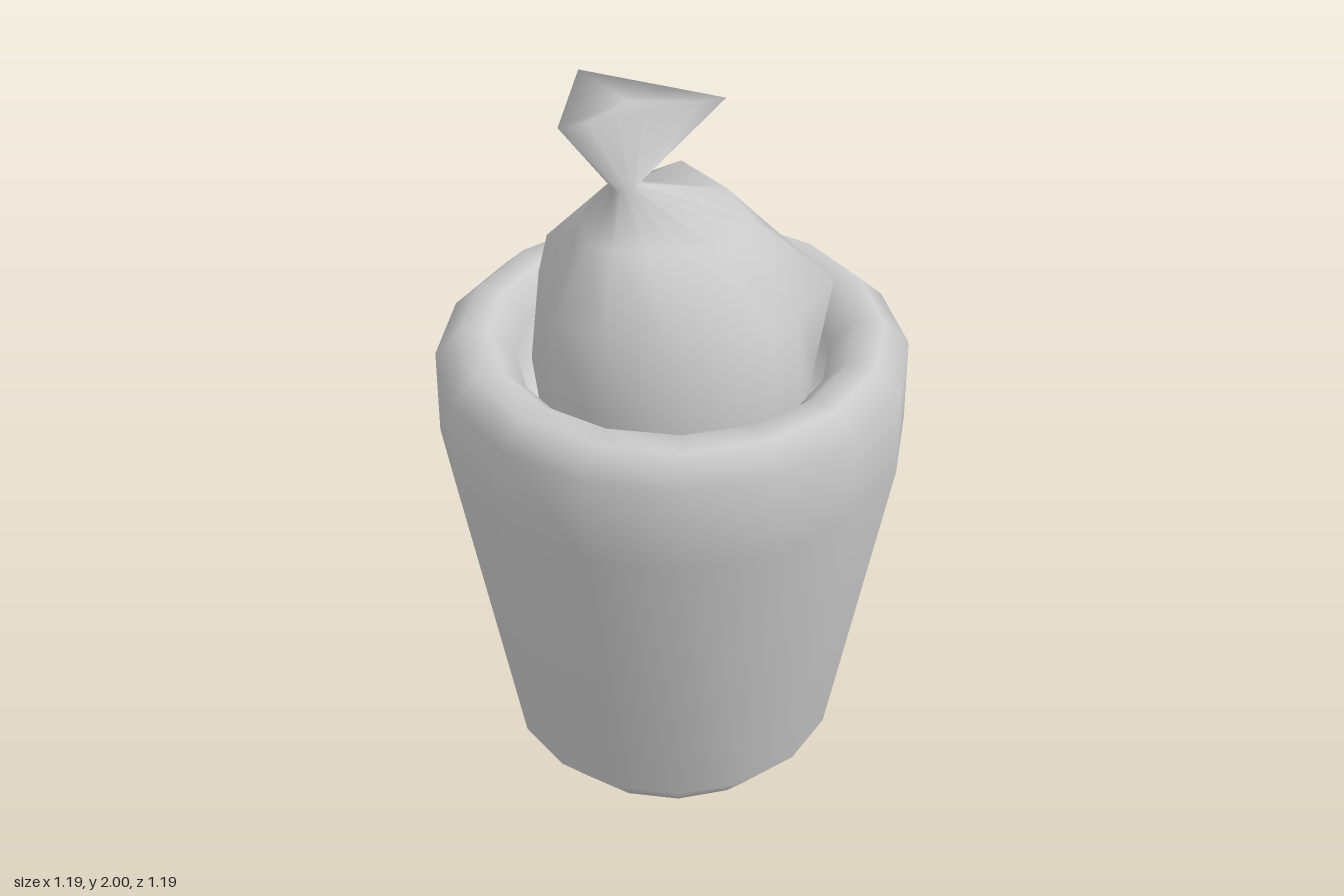
import * as THREE from 'three';

const material = () => new THREE.MeshStandardMaterial({ color: 0xcccccc, side: THREE.DoubleSide });

// Skin stacked rings (ordered +z, +x, -z, -x), closed at the top
function loft(rings) {
  const n = rings[0].length;
  const pos = rings.flat(2);
  const index = [];
  for (let r = 0; r < rings.length - 1; r++) {
    for (let i = 0; i < n; i++) {
      const a = r * n + i, b = r * n + (i + 1) % n;
      index.push(a, b, a + n, b, b + n, a + n);
    }
  }
  const top = rings[rings.length - 1];
  const centre = [0, 1, 2].map(k => top.reduce((s, p) => s + p[k], 0) / n);
  pos.push(...centre);
  const base = (rings.length - 1) * n;
  for (let i = 0; i < n; i++) index.push(rings.length * n, base + i, base + (i + 1) % n);
  const g = new THREE.BufferGeometry();
  g.setAttribute('position', new THREE.Float32BufferAttribute(pos, 3));
  g.setIndex(index);
  g.computeVertexNormals();
  return g;
}

const mix = (a, b, t) => a.map((v, k) => v + (b[k] - v) * t);

export function createModel() {
  const model = new THREE.Group();

  // Pot: sixteen-sided, with a thick rounded rim and a recessed floor
  const profile = [
    [0, 0], [0.31, 0], [0.345, 0.005], [0.435, 0.11], [0.595, 1.0], [0.595, 1.235],
    [0.53, 1.3], [0.46, 1.3], [0.395, 1.23], [0.38, 1.0], [0, 1.0],
  ].map(p => new THREE.Vector2(...p));
  const pot = new THREE.Mesh(new THREE.LatheGeometry(profile, 16), material());
  pot.name = 'pot';
  model.add(pot);

  // Sack: widest ring where the cloth starts to gather
  const shoulder = [
    [-0.02, 1.46, 0.325], [0.13, 1.45, 0.3], [0.23, 1.44, 0.26], [0.3, 1.43, 0.15],
    [0.4, 1.43, 0], [0.27, 1.45, -0.2], [0.13, 1.45, -0.4], [-0.11, 1.44, -0.33],
    [-0.31, 1.44, -0.22], [-0.33, 1.44, -0.05], [-0.3, 1.44, 0.2], [-0.18, 1.45, 0.29],
  ];
  const knot = [-0.118, 1.72, 0.01];

  // Lower body inside the pot, rounder than the shoulder
  const belly = shoulder.map(([x, , z]) => {
    const s = 0.36 / Math.hypot(x, z);
    return [x * s, 1.18, z * s];
  });
  const foot = belly.map(([x, , z]) => [x * 0.94, 1.0, z * 0.94]);

  // Tight ring at the tie
  const neck = shoulder.map(([x, , z]) => {
    const dx = x - knot[0], dz = z - knot[2], s = 0.036 / Math.hypot(dx, dz);
    return [knot[0] + dx * s, knot[1], knot[2] + dz * s];
  });

  // Gather: straight towards the tie, but bulging to the left and the back
  const bulge = {
    2: [0.11, 1.6, 0.14], 3: [0.17, 1.61, 0.09], 4: [0.2, 1.62, 0.03],
    5: [0.14, 1.63, -0.11], 6: [0.03, 1.66, -0.2], 7: [-0.08, 1.62, -0.18],
  };
  const gather = shoulder.map((p, i) => bulge[i] || mix(p, neck[i], 0.6));

  // Flared triangular end above the tie: three corners, columns spread between them
  const corners = [
    { col: 4, p: [0.13, 1.91, -0.06] },
    { col: 7, p: [-0.22, 1.86, -0.31] },
    { col: 10, p: [-0.27, 2.0, 0.23] },
  ];
  const flare = [];
  corners.forEach(({ col, p }, c) => {
    const next = corners[(c + 1) % 3];
    const span = (next.col - col + 12) % 12;
    for (let k = 0; k < span; k++) flare[(col + k) % 12] = mix(p, next.p, k / span);
  });

  const sack = new THREE.Mesh(loft([foot, belly, shoulder, gather, neck, flare]), material());
  sack.name = 'tiedSack';
  model.add(sack);

  return model;
}
